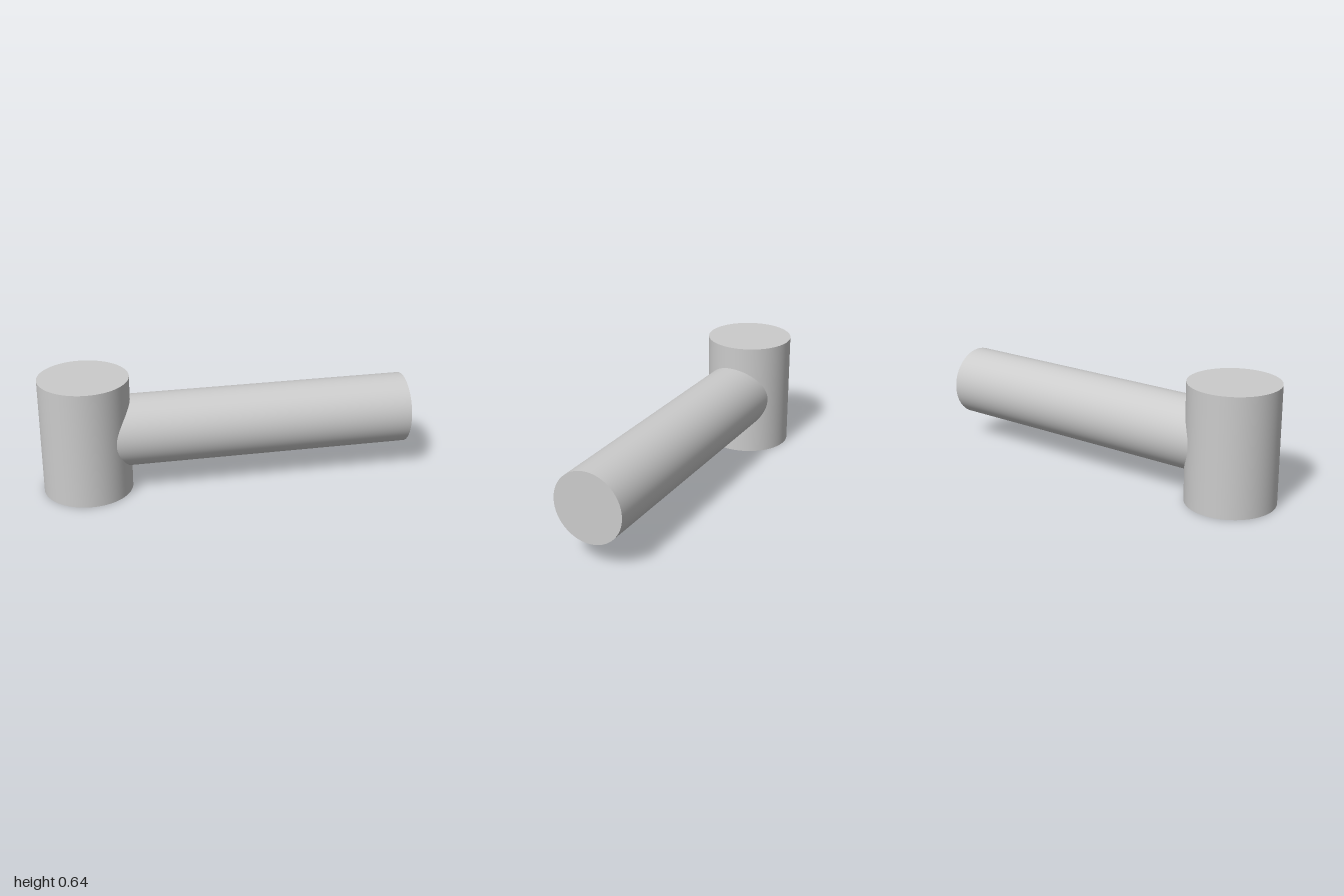
import * as THREE from 'three';

const HEAD_R = 0.24, HEAD_H = 0.64, HEAD_X = -0.76;
const HANDLE_R = 0.192, HANDLE_END = 1;
const SEGMENTS = 96;

export function createModel() {
  const model = new THREE.Group();
  model.name = 'mallet';
  const material = new THREE.MeshStandardMaterial({ color: 0xcccccc });

  const add = (name, geometry, parent) => {
    const mesh = new THREE.Mesh(geometry, material);
    mesh.name = name;
    parent.add(mesh);
    return mesh;
  };

  // Head: upright cylinder standing on the ground
  const head = add('head', new THREE.CylinderGeometry(HEAD_R, HEAD_R, HEAD_H, SEGMENTS), model);
  head.position.set(HEAD_X, HEAD_H / 2, 0);

  // Handle: horizontal round bar, measured from the head's axis
  const handle = new THREE.Group();
  handle.name = 'handle';
  handle.position.set(HEAD_X, HEAD_H / 2, 0);
  model.add(handle);

  const length = HANDLE_END - HEAD_X;
  const shaft = new THREE.CylinderGeometry(HANDLE_R, HANDLE_R, length, SEGMENTS, 1, true);
  shaft.rotateZ(-Math.PI / 2).translate(length / 2, 0, 0);

  // Cope the near end of the shaft to the round side of the head, sunk a hair
  const p = shaft.attributes.position;
  for (let i = 0; i < p.count; i++) {
    if (p.getX(i) < length / 2) p.setX(i, Math.sqrt(HEAD_R ** 2 - p.getZ(i) ** 2) - 0.001);
  }
  add('handleShaft', shaft, handle);

  // Flat end face of the handle
  const cap = new THREE.CircleGeometry(HANDLE_R, SEGMENTS);
  cap.rotateY(Math.PI / 2).translate(length, 0, 0);
  add('handleEnd', cap, handle);

  return model;
}
